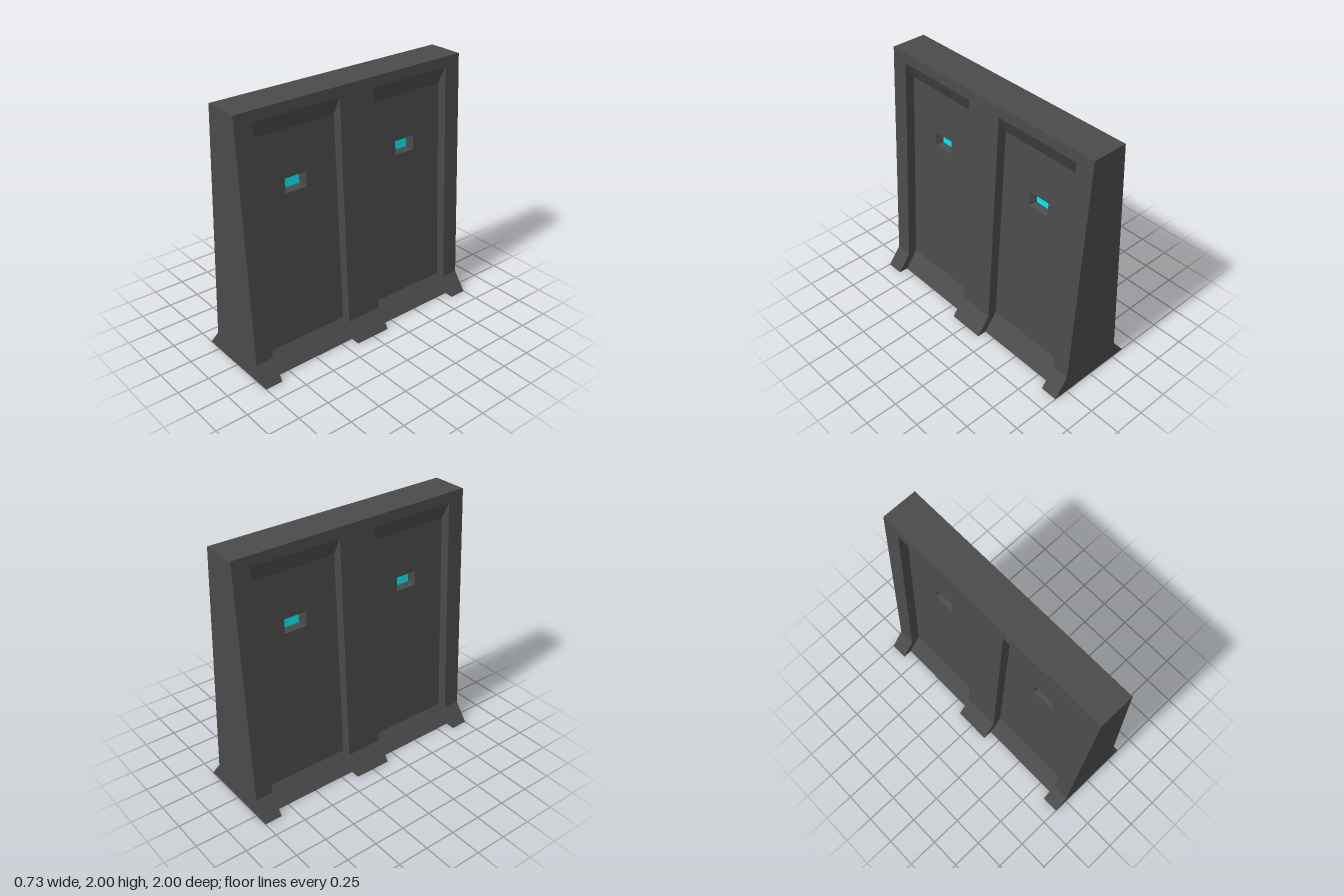
import * as THREE from 'three';

const wallMaterial = new THREE.MeshStandardMaterial({ color: 0x4a4a4a, flatShading: true });
const lightMaterial = new THREE.MeshStandardMaterial({ color: 0x00e8f0, flatShading: true });

// Half sections as [x, y], from the middle of the base round to the middle of the top
const RIB = [[0, 0], [0.365, 0], [0.255, 0.145], [0.154, 1.78], [0.145, 1.92], [0.14, 2], [0, 2]];
const BAY = [[0, 0], [0.29, 0], [0.18, 0.145], [0.079, 1.78], [0.145, 1.92], [0.14, 2], [0, 2]];
const PANEL = 2; // the section segment that holds the window

// Mesh from four-cornered faces drawn for the +x side, mirrored to -x
function mirroredMesh(name, faces, material) {
  const positions = [];
  const addFace = ([a, b, c, d]) => positions.push(...a, ...b, ...c, ...a, ...c, ...d);
  for (const face of faces) {
    addFace(face);
    addFace(face.map(([x, y, z]) => [-x, y, z]).reverse());
  }
  const geometry = new THREE.BufferGeometry();
  geometry.setAttribute('position', new THREE.Float32BufferAttribute(positions, 3));
  geometry.computeVertexNormals();
  const mesh = new THREE.Mesh(geometry, material);
  mesh.name = name;
  return mesh;
}

// Face swept along z between two section points
const strip = (p, q, z0, z1) => [[...p, z1], [...p, z0], [...q, z0], [...q, z1]];

function sweep(section, z0, z1, skip = -1) {
  const faces = [];
  for (let i = 0; i < section.length - 1; i++) {
    if (i !== skip) faces.push(strip(section[i], section[i + 1], z0, z1));
  }
  return faces;
}

// Faces across z that fill the gap between an inner and an outer section
function crossWall(inner, outer, z, facing, from, to) {
  const faces = [];
  for (let i = from; i < to; i++) {
    const face = [inner[i], outer[i], outer[i + 1], inner[i + 1]].map((p) => [...p, z]);
    faces.push(facing > 0 ? face : face.reverse());
  }
  return faces;
}

// Four faces joining one rectangle to another
const ring = (outer, inner) => outer.map((p, i) => {
  const j = (i + 1) % 4;
  return [p, outer[j], inner[j], inner[i]];
});

// Rectangle lying on the sloping panel, sunk by a depth
function panelRect(z, halfWidth, y0, y1, depth) {
  const [p, q] = [BAY[PANEL], BAY[PANEL + 1]];
  const at = (y) => [THREE.MathUtils.mapLinear(y, p[1], q[1], p[0], q[0]) - depth, y];
  return strip(at(y0), at(y1), z - halfWidth, z + halfWidth);
}

export function createModel() {
  const group = new THREE.Group();
  const add = (name, faces, material = wallMaterial) => group.add(mirroredMesh(name, faces, material));

  // Full-depth ribs at both ends and in the middle
  add('frontRib', sweep(RIB, 0.86, 1));
  add('middleRib', sweep(RIB, -0.15, 0.15));
  add('backRib', sweep(RIB, -1, -0.86));

  // Flat end faces
  const axis = RIB.map(([, y]) => [0, y]);
  add('frontEnd', crossWall(axis, RIB, 1, 1, 1, 5));
  add('backEnd', crossWall(axis, RIB, -1, -1, 1, 5));

  // Recessed bays, each with a sunken lit window on both sides
  for (const [name, z] of [['front', 0.505], ['back', -0.505]]) {
    const [z0, z1] = [z - 0.355, z + 0.355];
    const opening = panelRect(z, 0.09, 1.32, 1.43, 0);
    const pane = panelRect(z, 0.064, 1.335, 1.415, 0.05);
    add(name + 'Bay', [
      ...sweep(BAY, z0, z1, PANEL),
      ...ring(strip(BAY[PANEL], BAY[PANEL + 1], z0, z1), opening),
      ...crossWall(BAY, RIB, z0, 1, 1, 4),
      ...crossWall(BAY, RIB, z1, -1, 1, 4),
    ]);
    add(name + 'WindowFrame', ring(opening, pane));
    add(name + 'WindowLight', [pane], lightMaterial);
  }
  return group;
}
